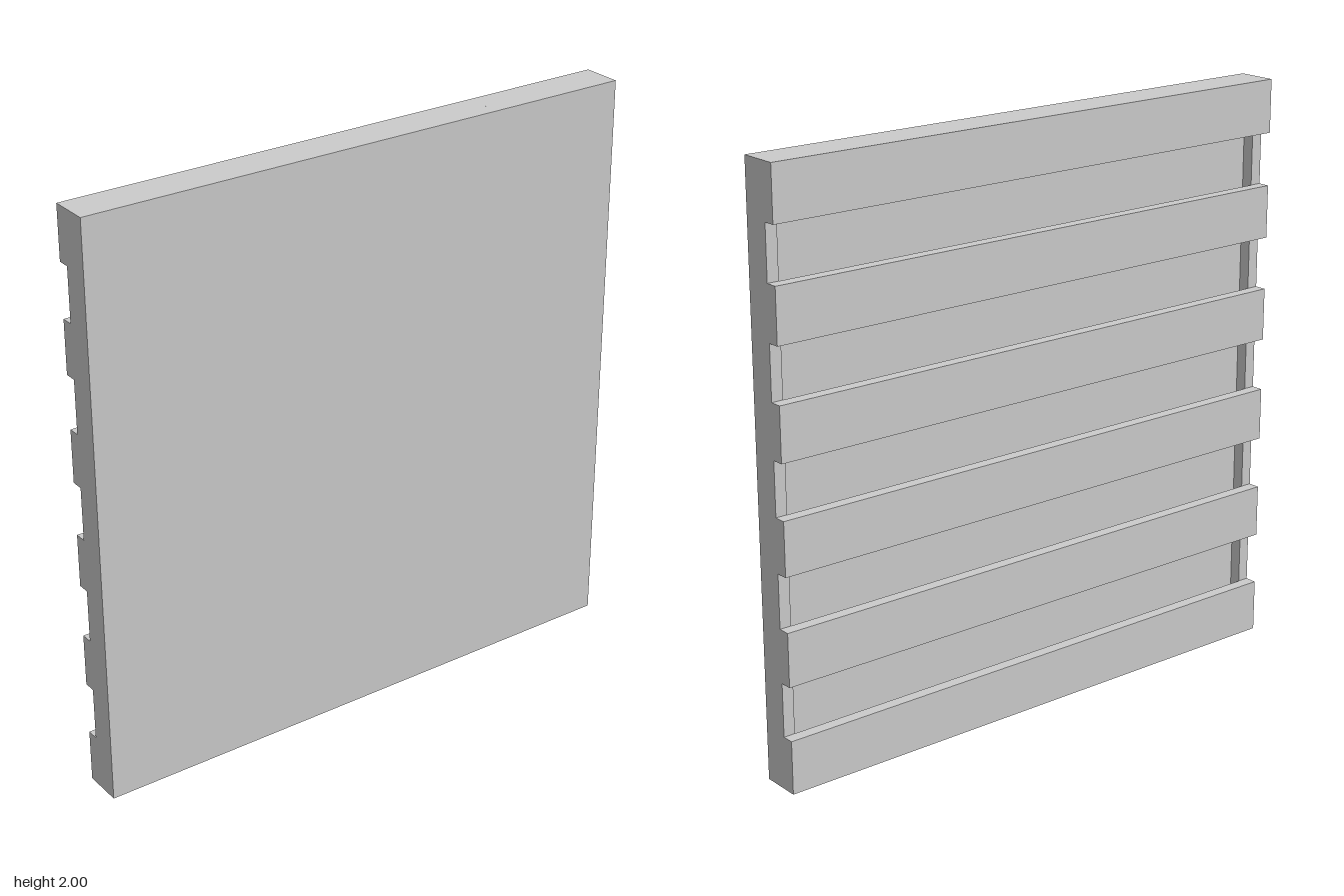
import * as THREE from 'three';

export function createModel() {
  const group = new THREE.Group();
  const material = new THREE.MeshStandardMaterial({ color: 0xcccccc, flatShading: true });

  // Depth layers from front to back
  const zFront = 0.068, zPanel = 0.014, zFrame = -0.027, zBack = -0.068;
  const rail = 0.04;

  // Box given by its limits on each axis
  function addBox(name, x0, x1, y0, y1, z0, z1) {
    const mesh = new THREE.Mesh(new THREE.BoxGeometry(x1 - x0, y1 - y0, z1 - z0), material);
    mesh.position.set((x0 + x1) / 2, (y0 + y1) / 2, (z0 + z1) / 2);
    mesh.name = name;
    group.add(mesh);
  }

  // Flat front panel
  addBox('frontPanel', -1, 1, 0, 2, zPanel, zFront);

  // Frame around the edge that holds the slats off the panel
  addBox('leftRail', 1 - rail, 1, 0, 2, zFrame, zPanel);
  addBox('rightRail', -1, -1 + rail, 0, 2, zFrame, zPanel);
  addBox('bottomRail', -1 + rail, 1 - rail, 0, rail, zFrame, zPanel);
  addBox('topRail', -1 + rail, 1 - rail, 2 - rail, 2, zFrame, zPanel);

  // Six slats across the back, with gaps as wide as the slats
  const count = 6;
  const height = 2 / (2 * count - 1);
  for (let i = 0; i < count; i++) {
    const y = 2 * i * height;
    addBox(`backSlat${i + 1}`, -1, 1, y, y + height, zBack, zFrame);
  }

  return group;
}
